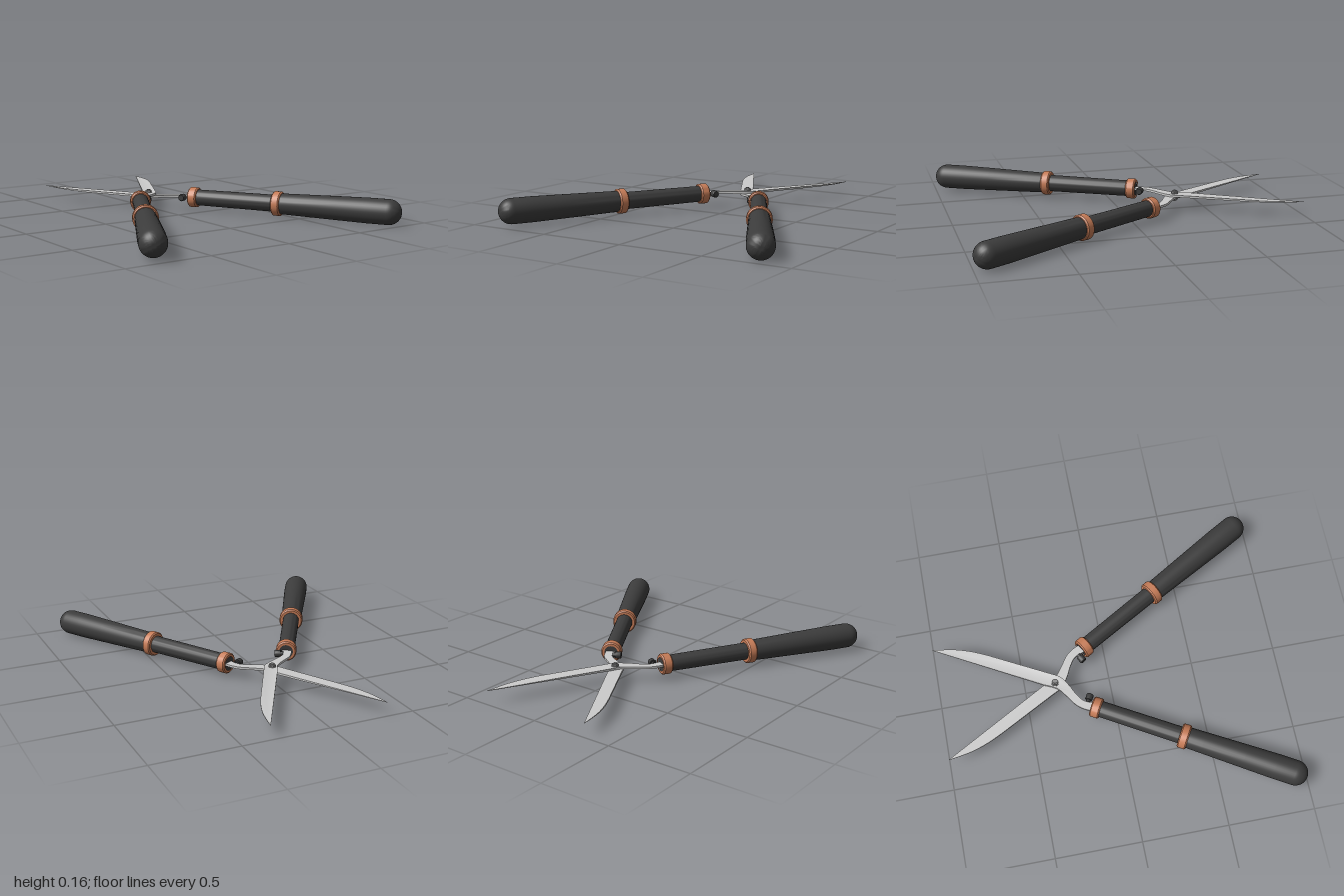
import * as THREE from 'three';
import { toCreasedNormals } from 'three/addons/utils/BufferGeometryUtils.js';

const steel = new THREE.MeshStandardMaterial({ color: 0xcccccc });
const boltSteel = new THREE.MeshStandardMaterial({ color: 0x8c8c8c });
const rubber = new THREE.MeshStandardMaterial({ color: 0x3c3c3c });
const copper = new THREE.MeshStandardMaterial({ color: 0xc87d58 });

const MID = 0.082;        // height where the two blades touch
const THICK = 0.013;      // blade thickness
const PIVOT_Z = -0.32;
const UP = new THREE.Vector3(0, 1, 0);

function part(name, geometry, material) {
  const mesh = new THREE.Mesh(geometry, material);
  mesh.name = name;
  return mesh;
}

function lathe(points, segments = 40) {
  const profile = points.map(([r, y]) => new THREE.Vector2(r, y));
  return toCreasedNormals(new THREE.LatheGeometry(profile, segments), 0.6);
}

// Blade and curved tang in one outline, drawn in x and z
function bladeGeometry(side, level) {
  const v = ([x, z]) => new THREE.Vector2(side * x, z);
  const shape = new THREE.Shape();
  shape.moveTo(side * -0.342, -1);
  shape.lineTo(side * 0.0, -0.388);
  shape.splineThru([[0.037, -0.315], [0.095, -0.268], [0.16, -0.222], [0.195, -0.175], [0.215, -0.13]].map(v));
  shape.lineTo(side * 0.165, -0.11);
  shape.splineThru([[0.14, -0.175], [0.09, -0.213], [0.03, -0.243], [-0.03, -0.285], [-0.065, -0.345]].map(v));
  shape.lineTo(side * -0.245, -0.68);
  shape.splineThru([[-0.285, -0.765], [-0.315, -0.85], [-0.332, -0.93], [-0.342, -1]].map(v));

  const geo = new THREE.ExtrudeGeometry(shape, { depth: THICK, bevelEnabled: false, curveSegments: 20 });
  geo.rotateX(Math.PI / 2);
  if (level > 0) geo.translate(0, THICK, 0);
  // Thin the outer face towards the tip
  const p = geo.attributes.position;
  for (let i = 0; i < p.count; i++) {
    const t = THREE.MathUtils.clamp((-0.6 - p.getZ(i)) / 0.4, 0, 1);
    p.setY(i, p.getY(i) * (1 - 0.85 * t));
  }
  geo.translate(0, MID, 0);
  return toCreasedNormals(geo, 0.5);
}

// Ferrule with softened rims, centred on its own length
function ferrule(radius, inner, length) {
  const h = length / 2, b = 0.007;
  return lathe([[inner, -h], [radius - b, -h], [radius, -h + b], [radius, h - b], [radius - b, h], [inner, h]]);
}

// Handle along +y, starting at the front ferrule
function buildHandle() {
  const handle = new THREE.Group();
  handle.name = 'handle';
  handle.add(part('shaft', lathe([[0, -0.022], [0.047, -0.022], [0.05, 0.54], [0, 0.54]]), rubber));

  const front = part('frontFerrule', ferrule(0.06, 0.04, 0.056), copper);
  const middle = part('middleFerrule', ferrule(0.072, 0.045, 0.052), copper);
  middle.position.y = 0.535;
  handle.add(front, middle);

  // Grip widens towards a domed end
  const end = 1.195, R = 0.073;
  const profile = [[0, 0.53], [0.06, 0.53], [0.063, 0.65], [0.069, 0.9], [0.073, 1.08]];
  for (let i = 0; i <= 12; i++) {
    const a = (i / 12) * Math.PI / 2;
    profile.push([R * Math.cos(a), end + R * Math.sin(a)]);
  }
  handle.add(part('grip', lathe(profile), rubber));
  return handle;
}

function buildHalf(side, level) {
  const half = new THREE.Group();
  half.name = side > 0 ? 'leftHandleHalf' : 'rightHandleHalf';
  const y = MID + level * 0.0065;
  half.add(part('blade', bladeGeometry(side, level), steel));

  const handle = buildHandle();
  handle.position.set(side * 0.195, y, -0.11);
  handle.quaternion.setFromUnitVectors(UP, new THREE.Vector3(side * 0.5, 0, Math.sqrt(0.75)));
  half.add(handle);

  // Bumper on the inner side of the tang
  const bumper = part('bumper', lathe([[0, -0.03], [0.013, -0.03], [0.013, -0.015], [0.021, -0.015],
    [0.021, 0.015], [0.017, 0.021], [0, 0.021]], 20), rubber);
  bumper.position.set(side * 0.126, y, -0.14);
  bumper.quaternion.setFromUnitVectors(UP, new THREE.Vector3(side * -Math.sqrt(0.75), 0, 0.5));
  half.add(bumper);
  return half;
}

// Pivot bolt with a washer and hexagonal head on each face
function buildPivot() {
  const pivot = new THREE.Group();
  pivot.name = 'pivotBolt';
  pivot.position.set(0, MID, PIVOT_Z);
  pivot.add(part('boltShaft', new THREE.CylinderGeometry(0.01, 0.01, 0.064, 20), boltSteel));
  for (const s of [-1, 1]) {
    const washer = part('washer', new THREE.CylinderGeometry(0.022, 0.022, 0.004, 24), boltSteel);
    washer.position.y = s * 0.015;
    const nut = part('hexHead', toCreasedNormals(new THREE.CylinderGeometry(0.019, 0.019, 0.01, 6), 0.5), boltSteel);
    nut.position.y = s * 0.022;
    pivot.add(washer, nut);
  }
  return pivot;
}

export function createModel() {
  const model = new THREE.Group();
  model.name = 'hedgeShears';
  model.add(buildHalf(1, -1), buildHalf(-1, 1), buildPivot());
  return model;
}
